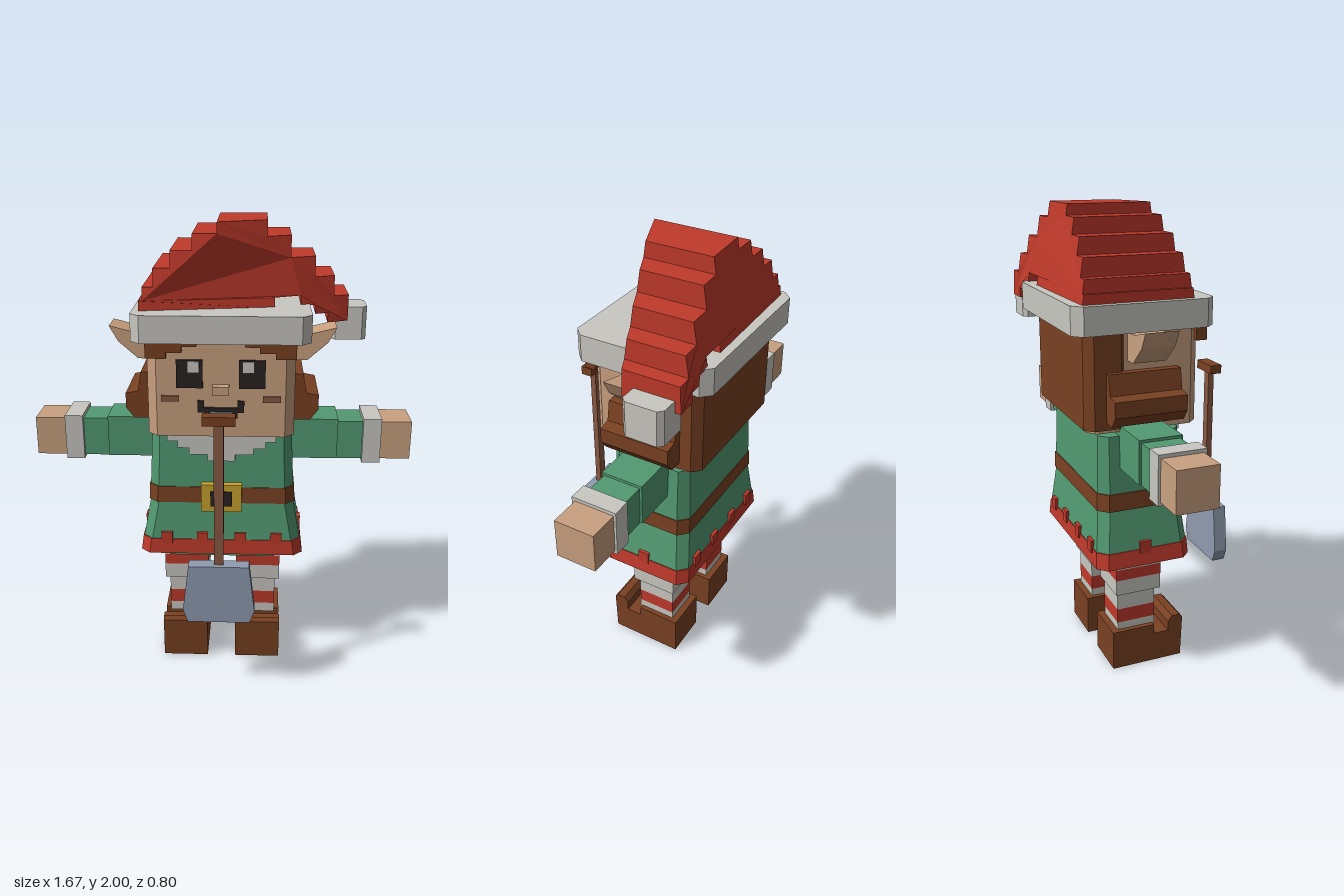
import * as THREE from 'three';

const mat = (name, color) => {
  const m = new THREE.MeshStandardMaterial({ color, flatShading: true });
  m.name = name;
  return m;
};

export function createModel() {
  const red = mat('red', 0xc03a2b), skin = mat('skin', 0xcaa180), green = mat('green', 0x529a72);
  const white = mat('offWhite', 0xc9c8c2), brown = mat('brown', 0x7a4122), wood = mat('wood', 0x8b5a43);
  const gold = mat('gold', 0xc9a22e), steel = mat('steel', 0x8f9caf), black = mat('black', 0x2b2324);

  const root = new THREE.Group();
  const add = (name, geo, material, parent = root) => {
    const mesh = new THREE.Mesh(geo, material);
    mesh.name = name;
    parent.add(mesh);
    return mesh;
  };
  const group = (name) => {
    const g = new THREE.Group();
    g.name = name;
    root.add(g);
    return g;
  };
  // Box given by its minimum and maximum on each axis
  const box = (name, m, x0, x1, y0, y1, z0, z1, parent) => add(name,
    new THREE.BoxGeometry(Math.abs(x1 - x0), y1 - y0, z1 - z0)
      .translate((x0 + x1) / 2, (y0 + y1) / 2, (z0 + z1) / 2), m, parent);
  // Outline in x, y extruded from z0 to z1
  const extrude = (pts, z0, z1, holes = []) => {
    const shape = new THREE.Shape(pts.map(([x, y]) => new THREE.Vector2(x, y)));
    holes.forEach((h) => shape.holes.push(new THREE.Path(h.map(([x, y]) => new THREE.Vector2(x, y)))));
    return new THREE.ExtrudeGeometry(shape, { depth: z1 - z0, bevelEnabled: false }).translate(0, 0, z0);
  };
  const mirrored = (pts, s) => pts.map(([x, y]) => [x * s, y]);
  // Stack of chamfered rectangles: [y, half width, front z, back z, chamfer]
  const loft = (rings) => {
    const pts = rings.map(([y, h, f, b, c]) => [
      [h - c, f], [h, f - c], [h, b + c], [h - c, b],
      [c - h, b], [-h, b + c], [-h, f - c], [c - h, f],
    ].map(([x, z]) => [x, y, z]));
    const out = [];
    const tri = (...p) => p.forEach((v) => out.push(...v));
    for (let r = 0; r + 1 < pts.length; r++) {
      for (let i = 0; i < 8; i++) {
        const j = (i + 1) % 8, a = pts[r], b = pts[r + 1];
        tri(a[i], a[j], b[j]);
        tri(a[i], b[j], b[i]);
      }
    }
    const lo = pts[0], hi = pts[pts.length - 1];
    for (let i = 1; i < 7; i++) {
      tri(hi[0], hi[i], hi[i + 1]);
      tri(lo[0], lo[i + 1], lo[i]);
    }
    const g = new THREE.BufferGeometry();
    g.setAttribute('position', new THREE.Float32BufferAttribute(out, 3));
    g.computeVertexNormals();
    return g;
  };

  // Tunic, belt and red hem
  add('tunicTop', loft([[0.86, 0.318, 0.087, -0.283, 0.04], [1.105, 0.305, 0.078, -0.275, 0.035]]), green);
  add('belt', loft([[0.785, 0.326, 0.092, -0.288, 0.04], [0.86, 0.322, 0.09, -0.286, 0.04]]), brown);
  add('tunicSkirt', loft([[0.6, 0.354, 0.106, -0.302, 0.04], [0.785, 0.32, 0.088, -0.284, 0.04]]), green);
  add('hem', loft([[0.54, 0.366, 0.113, -0.31, 0.04], [0.61, 0.356, 0.109, -0.305, 0.04]]), red);
  [-0.245, -0.085, 0.085, 0.245].forEach((x) => {
    box('hemTabFront', red, x - 0.025, x + 0.025, 0.59, 0.645, 0.07, 0.114);
    box('hemTabBack', red, x - 0.025, x + 0.025, 0.59, 0.645, -0.312, -0.27);
  });
  [-1, 1].forEach((s) => box('hemTabSide', red, s * 0.32, s * 0.36, 0.59, 0.645, -0.125, -0.075));
  box('shorts', green, -0.24, 0.24, 0.5, 0.56, -0.24, 0.05);

  // Stepped collar
  const half = [[0.235, 1.108], [0.235, 1.08], [0.19, 1.08], [0.19, 1.05], [0.14, 1.05],
    [0.14, 1.02], [0.06, 1.02], [0.06, 0.99]];
  add('collar', extrude([...half, ...mirrored(half, -1).reverse()], 0.06, 0.103), white);

  // Buckle
  const rect = (w, y0, y1) => [[-w, y0], [w, y0], [w, y1], [-w, y1]];
  add('buckle', extrude(rect(0.09, 0.755, 0.882), 0.08, 0.12, [rect(0.048, 0.785, 0.852)]), gold);
  box('buckleCentre', black, -0.048, 0.048, 0.785, 0.852, 0.08, 0.13);

  // Arms and legs
  const shoeProfile = [[-0.215, 0], [0.112, 0], [0.12, 0.19], [0.105, 0.205], [0.07, 0.205],
    [0.05, 0.18], [0.05, 0.135], [-0.02, 0.135], [-0.02, 0.18], [-0.215, 0.18]];
  [[1, 'left'], [-1, 'right']].forEach(([s, side]) => {
    const arm = group(side + 'Arm');
    box('upperSleeve', green, s * 0.27, s * 0.51, 0.967, 1.15, -0.195, -0.01, arm);
    box('lowerSleeve', green, s * 0.51, s * 0.63, 0.965, 1.138, -0.185, -0.02, arm);
    box('cuff', white, s * 0.62, s * 0.70, 0.953, 1.155, -0.2, 0, arm);
    box('hand', skin, s * 0.70, s * 0.833, 0.968, 1.14, -0.19, -0.015, arm);

    const leg = group(side + 'Leg');
    [[0.36, 0.43, white], [0.43, 0.48, red], [0.48, 0.56, white]].forEach(([a, b, m]) =>
      box('thighStripe', m, s * 0.065, s * 0.267, a, b, -0.197, 0.01, leg));
    [[0.17, 0.215, white], [0.215, 0.28, red], [0.28, 0.36, white]].forEach(([a, b, m]) =>
      box('shinStripe', m, s * 0.085, s * 0.247, a, b, -0.185, -0.01, leg));
    add('shoe', extrude(shoeProfile, 0, 0.205).rotateY(-Math.PI / 2)
      .translate(s * 0.167 + 0.1025, 0, 0), brown, leg);
  });

  // Head and hair
  box('neck', skin, -0.2, 0.2, 1.09, 1.14, -0.24, 0.05);
  add('head', loft([[1.125, 0.31, 0.157, -0.325, 0.04], [1.6, 0.31, 0.157, -0.325, 0.04]]), skin);
  add('backHair', loft([[1.14, 0.322, -0.155, -0.34, 0.035], [1.6, 0.322, -0.155, -0.34, 0.035]]), brown);
  box('nose', skin, -0.035, 0.035, 1.318, 1.355, 0.15, 0.197);
  const earShape = [[0.29, 1.525], [0.38, 1.53], [0.487, 1.557], [0.45, 1.49], [0.365, 1.415], [0.29, 1.415]];
  const curlShape = [[0.3, 1.375], [0.347, 1.375], [0.362, 1.29], [0.415, 1.28],
    [0.415, 1.215], [0.38, 1.17], [0.3, 1.17]];
  const fringeShape = [[0.31, 1.56], [0.31, 1.47], [0.225, 1.47], [0.225, 1.495], [0.16, 1.495],
    [0.16, 1.52], [0.1, 1.52], [0.1, 1.56]];
  [[1, 'left'], [-1, 'right']].forEach(([s, side]) => {
    const g = group(side + 'FaceSide');
    add('ear', extrude(mirrored(earShape, s), -0.16, -0.02), skin, g);
    add('sideHair', extrude(mirrored(curlShape, s), -0.255, 0.055), brown, g);
    add('fringe', extrude(mirrored(fringeShape, s), 0.14, 0.187), brown, g);
    box('eye', black, s * 0.075, s * 0.185, 1.34, 1.46, 0.157, 0.166, g);
    box('eyeHighlight', white, s * 0.09, s * 0.138, 1.407, 1.455, 0.166, 0.172, g);
    box('cheek', wood, s * 0.175, s * 0.25, 1.28, 1.305, 0.157, 0.165, g);
  });
  const mouthHalf = [[0.098, 1.285], [0.098, 1.235], [0.07, 1.235], [0.07, 1.21]];
  add('mouth', extrude([[0.07, 1.255], [0.07, 1.285], ...mouthHalf,
    ...mirrored(mouthHalf, -1).reverse(), [-0.07, 1.285], [-0.07, 1.255]], 0.157, 0.166), black);
  box('teeth', steel, -0.045, 0.05, 1.213, 1.238, 0.166, 0.172);

  // Hat brim, stepped drooping hat and pompom
  add('hatBrim', loft([[1.535, 0.37, 0.2, -0.4, 0.04], [1.65, 0.37, 0.2, -0.4, 0.04]]), white);
  const hat = extrude([[-0.34, 1.645], [-0.34, 1.69], [-0.325, 1.69], [-0.325, 1.745], [-0.28, 1.745],
    [-0.28, 1.82], [-0.21, 1.82], [-0.21, 1.89], [-0.12, 1.89], [-0.12, 1.955], [-0.02, 1.955],
    [-0.02, 2], [0.185, 2], [0.185, 1.935], [0.285, 1.935], [0.285, 1.845], [0.39, 1.845],
    [0.39, 1.76], [0.475, 1.76], [0.475, 1.675], [0.54, 1.675], [0.54, 1.563], [0.45, 1.563],
    [0.45, 1.605], [0.395, 1.605], [0.395, 1.645], [0.33, 1.645], [0.33, 1.688],
    [0.22, 1.688], [0.22, 1.645]], 0, 1);
  const p = hat.attributes.position;
  for (let i = 0; i < p.count; i++) {
    // The hat narrows upward and its front sweeps back toward the drooping tip
    const x = Math.max(p.getX(i), 0), t = Math.max((p.getY(i) - 1.65) / 0.35, 0);
    p.setZ(i, p.getZ(i) > 0.5 ? 0.113 - 0.053 * t - 0.46 * x : -0.355 + 0.057 * t - 0.05 * x);
  }
  hat.computeVertexNormals();
  add('hat', hat, red);
  add('pompom', loft([[1.465, 0.078, 0.085, -0.085, 0.02], [1.612, 0.078, 0.085, -0.085, 0.02]])
    .translate(0.552, 0, -0.272), white);

  // Shovel
  const shovel = group('shovel');
  box('handle', wood, -0.02, 0.02, 0.62, 1.26, 0.352, 0.378, shovel);
  box('grip', brown, -0.067, 0.067, 1.252, 1.29, 0.338, 0.39, shovel);
  add('blade', extrude([[-0.128, 0.63], [0.128, 0.63], [0.153, 0.42], [0.132, 0.363],
    [-0.132, 0.363], [-0.153, 0.42]], 0.34, 0.4), steel, shovel);

  return root;
}
